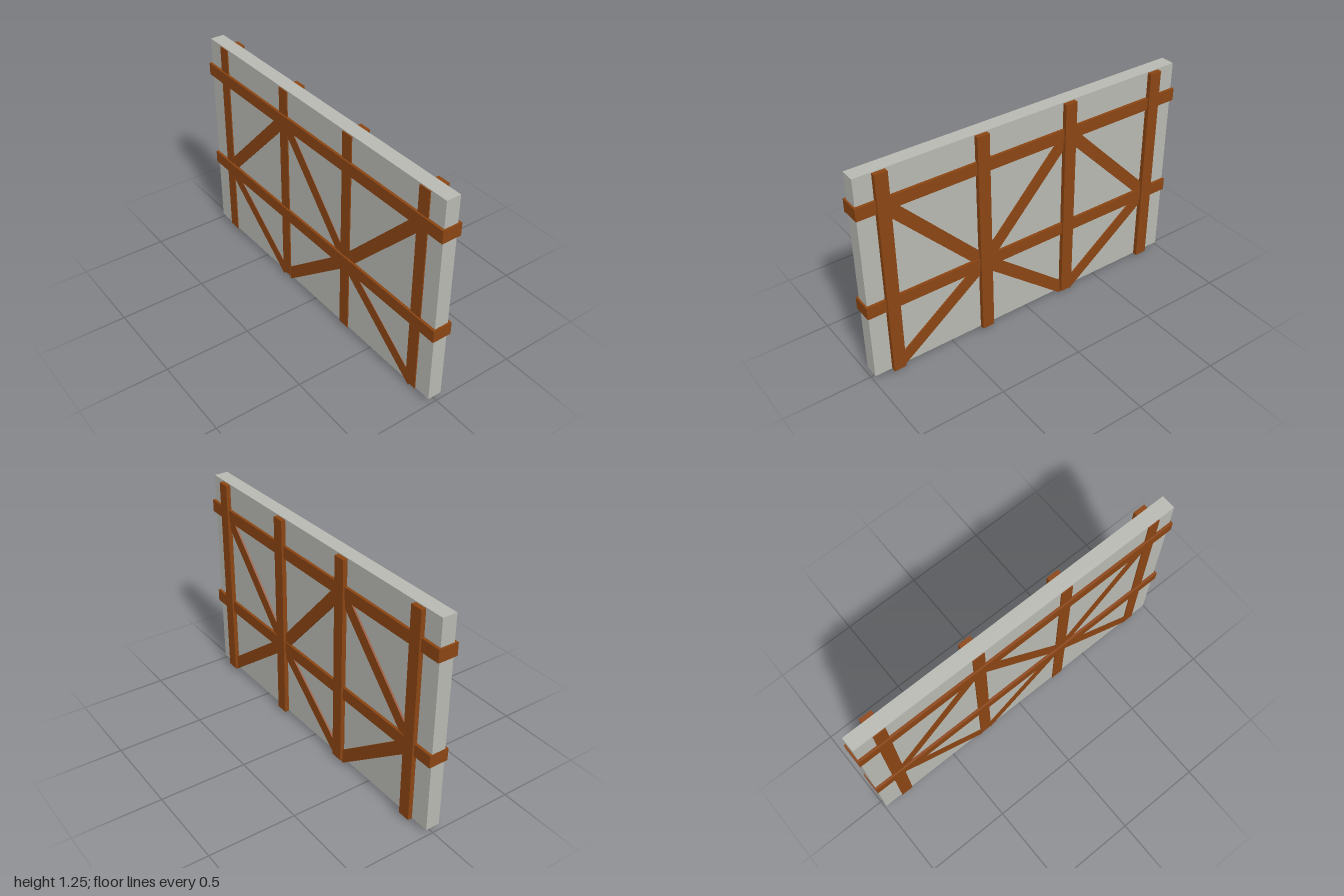
import * as THREE from 'three';

export function createModel() {
  const model = new THREE.Group();
  const wood = new THREE.MeshStandardMaterial({ color: 0x8b4513 });
  const plaster = new THREE.MeshStandardMaterial({ color: 0xb8b9b2 });

  // Box given by its extents on each axis
  function slab(name, [x0, x1], [y0, y1], [z0, z1], material) {
    const mesh = new THREE.Mesh(new THREE.BoxGeometry(x1 - x0, y1 - y0, z1 - z0), material);
    mesh.position.set((x0 + x1) / 2, (y0 + y1) / 2, (z0 + z1) / 2);
    mesh.name = name;
    model.add(mesh);
  }

  // Slanted beam between two [z, y] points
  function brace(name, [z0, y0], [z1, y1]) {
    const length = Math.hypot(z1 - z0, y1 - y0);
    const mesh = new THREE.Mesh(new THREE.BoxGeometry(0.097, 0.07, length), wood);
    mesh.position.set(-0.002, (y0 + y1) / 2, (z0 + z1) / 2);
    mesh.rotation.x = -Math.atan2(y1 - y0, z1 - z0);
    mesh.name = name;
    model.add(mesh);
  }

  // Wall infill
  slab('wallPanel', [-0.047, 0.036], [0.028, 1.255], [-0.99, 0.99], plaster);

  // Upright posts, standing proud on the left face
  const posts = [0.853, 0.287, -0.261, -0.843];
  posts.forEach((z, i) =>
    slab(`post${i + 1}`, [-0.053, 0.062], [0.025, 1.25], [z - 0.036, z + 0.036], wood));

  // Horizontal rails, standing proud on the right face
  slab('upperRail', [-0.062, 0.052], [1.03, 1.102], [-1, 1], wood);
  slab('lowerRail', [-0.062, 0.052], [0.432, 0.505], [-0.995, 1], wood);

  // Diagonal braces above and below the lower rail
  const top = 1.066, mid = 0.468;
  brace('upperBrace1', [posts[0], top], [posts[1], mid]);
  brace('upperBrace2', [posts[1], mid], [posts[2], top]);
  brace('upperBrace3', [posts[2], top], [posts[3], mid]);
  brace('lowerBrace1', [0.857, 0.034], [posts[1], mid]);
  brace('lowerBrace2', [posts[1], mid], [-0.244, 0.034]);
  brace('lowerBrace3', [-0.275, 0.028], [posts[3], mid]);

  return model;
}
